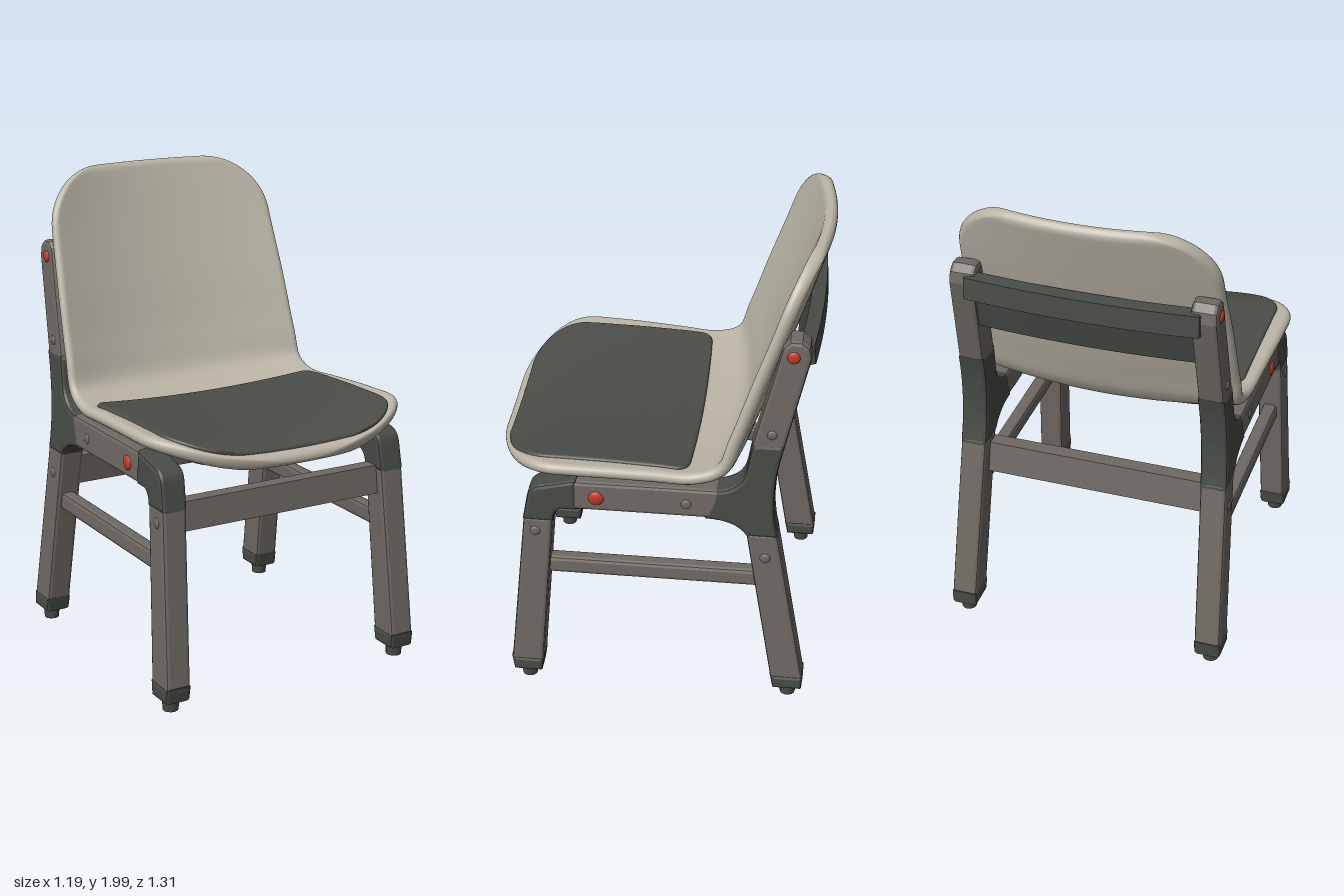
import * as THREE from 'three';

const mat = (name, color) => Object.assign(new THREE.MeshStandardMaterial({ color }), { name });

// Centre line of the seat shell, from front lip to top of the back: [z, y, halfWidth, cupY, cupZ]
const stations = [
  [0.655, 0.985, 0.59, 0.04, 0], [0.52, 1.03, 0.595, 0.045, 0], [0.25, 1.045, 0.59, 0.035, 0],
  [0, 1.04, 0.578, 0.03, 0], [-0.18, 1.035, 0.57, 0.03, 0.02], [-0.325, 1.09, 0.563, 0.02, 0.06],
  [-0.395, 1.24, 0.557, 0, 0.085], [-0.475, 1.48, 0.545, 0, 0.09], [-0.565, 1.75, 0.525, 0, 0.095],
  [-0.64, 1.985, 0.51, 0, 0.11],
];
const line = new THREE.CatmullRomCurve3(stations.map(([z, y]) => new THREE.Vector3(0, y, z)));
const shapeLine = new THREE.CatmullRomCurve3(stations.map(([, , w, cy, cz]) => new THREE.Vector3(w, cy, cz)));
const LENGTH = line.getLength();

// Rounded slab that follows the shell surface between two distances along its centre line
function slab({ from, to, width, front, back, offset, half, edge }) {
  const ds = [];
  for (let i = 0; i <= 14; i++) ds.push(from + front[1] * (1 - Math.cos(i / 14 * Math.PI / 2)));
  const a = from + front[1], b = to - back[1];
  for (let i = 1; i < 36; i++) ds.push(a + (b - a) * i / 36);
  for (let i = 14; i >= 0; i--) ds.push(to - back[1] * (1 - Math.cos(i / 14 * Math.PI / 2)));

  const corner = (d, [rx, rs]) => d >= rs ? 0 : rx * (1 - Math.sqrt(Math.max(0, 1 - (1 - d / rs) ** 2)));
  const round = d => Math.sqrt(Math.max(0, 1 - Math.max(0, 1 - d / edge) ** 2));
  const pos = [], index = [];
  let ring = 0;
  for (const d of ds) {
    const t = line.getUtoTmapping(Math.min(1, Math.max(0, d / LENGTH)));
    const p = line.getPoint(t), tan = line.getTangent(t), s = shapeLine.getPoint(t);
    const w = (width ?? s.x) - corner(d - from, front) - corner(to - d, back);
    const xs = [];
    for (let i = 0; i < 5; i++) xs.push(-w + edge * (1 - Math.cos(i / 5 * Math.PI / 2)));
    for (let i = 0; i <= 24; i++) xs.push((w - edge) * (i / 12 - 1));
    for (let i = 4; i >= 0; i--) xs.push(w - edge * (1 - Math.cos(i / 5 * Math.PI / 2)));
    const endRound = round(Math.min(d - from, to - d));
    const put = (x, side) => {
      const c = (x / 0.56) ** 2;
      const h = offset + side * half * endRound * round(w - Math.abs(x));
      pos.push(x, p.y + s.y * c - tan.z * h, p.z + s.z * c + tan.y * h);
    };
    xs.forEach(x => put(x, 1));
    xs.slice(1, -1).reverse().forEach(x => put(x, -1));
    ring = xs.length * 2 - 2;
  }
  for (let i = 0; i < ds.length - 1; i++) for (let j = 0; j < ring; j++) {
    const k = (j + 1) % ring, p = i * ring, q = p + ring;
    index.push(p + j, p + k, q + j, p + k, q + k, q + j);
  }
  const g = new THREE.BufferGeometry();
  g.setAttribute('position', new THREE.Float32BufferAttribute(pos, 3));
  g.setIndex(index);
  g.computeVertexNormals();
  return g;
}

// Side outline in (z, y) given depth along x, with bevelled edges
function prism(outline, width, bevel = 0.015, steps = 1) {
  const shape = outline instanceof THREE.Shape ? outline
    : new THREE.Shape(outline.map(([z, y]) => new THREE.Vector2(z, y)));
  const g = new THREE.ExtrudeGeometry(shape, {
    depth: width - 2 * bevel, steps, curveSegments: 8,
    bevelSize: bevel, bevelThickness: bevel, bevelOffset: -bevel, bevelSegments: 2,
  });
  g.translate(0, 0, bevel - width / 2);
  return g.rotateY(-Math.PI / 2);
}

// The side frames lean inwards as they rise
const frameX = y => 0.54 - 0.036 * y;
function lean(g, side) {
  const p = g.attributes.position;
  for (let i = 0; i < p.count; i++) p.setX(i, p.getX(i) + side * frameX(p.getY(i)));
  g.computeVertexNormals();
  return g;
}

export function createModel() {
  const model = new THREE.Group();
  model.name = 'chair';
  const shellMat = mat('warm grey shell', 0xbbb5a7);
  const frameMat = mat('brown grey frame', 0x6f6963);
  const darkMat = mat('dark grey joints', 0x484b46);
  const padMat = mat('dark grey pad', 0x4c4d48);
  const redMat = mat('red bolts', 0xc0392b);
  const add = (parent, name, geometry, material) => {
    const m = new THREE.Mesh(geometry, material);
    m.name = name;
    parent.add(m);
    return m;
  };

  // Shell, pad and the panel under the seat
  add(model, 'seatShell', slab({ from: 0, to: LENGTH, front: [0.5, 0.28], back: [0.26, 0.24],
    offset: 0, half: 0.027, edge: 0.03 }), shellMat);
  add(model, 'seatPad', slab({ from: 0.045, to: 0.815, width: 0.525, front: [0.3, 0.2], back: [0.06, 0.06],
    offset: 0.025, half: 0.013, edge: 0.015 }), padMat);
  add(model, 'underPanel', slab({ from: 0.14, to: 0.84, width: 0.42, front: [0.15, 0.12], back: [0.12, 0.1],
    offset: -0.05, half: 0.035, edge: 0.04 }), darkMat);

  // Curved joint outlines
  const frontJoint = new THREE.Shape();
  frontJoint.moveTo(0.53, 0.82);
  frontJoint.lineTo(0.51, 0.93);
  frontJoint.quadraticCurveTo(0.5, 0.985, 0.44, 0.99);
  frontJoint.lineTo(0.31, 1.02);
  frontJoint.lineTo(0.31, 0.88);
  frontJoint.lineTo(0.37, 0.88);
  frontJoint.quadraticCurveTo(0.405, 0.87, 0.405, 0.82);
  const backJoint = new THREE.Shape();
  backJoint.moveTo(-0.205, 0.88);
  backJoint.lineTo(-0.25, 1.015);
  backJoint.quadraticCurveTo(-0.35, 1.03, -0.365, 1.12);
  backJoint.lineTo(-0.385, 1.24);
  backJoint.lineTo(-0.512, 1.24);
  backJoint.quadraticCurveTo(-0.45, 1.0, -0.498, 0.81);
  backJoint.lineTo(-0.37, 0.81);
  backJoint.quadraticCurveTo(-0.33, 0.88, -0.205, 0.88);

  // Side frames: [name, outline, width, material]
  const parts = [
    ['frontLeg', [[0.6, 0.1], [0.467, 0.1], [0.407, 0.835], [0.526, 0.835]], 0.108, frameMat],
    ['backLeg', [[-0.49, 0.1], [-0.623, 0.1], [-0.495, 0.825], [-0.37, 0.825]], 0.108, frameMat],
    ['frontFootCap', [[0.602, 0.115], [0.464, 0.115], [0.474, 0.05], [0.592, 0.05]], 0.114, darkMat],
    ['backFootCap', [[-0.487, 0.115], [-0.625, 0.115], [-0.62, 0.05], [-0.5, 0.05]], 0.114, darkMat],
    ['frontJoint', frontJoint, 0.112, darkMat],
    ['backJoint', backJoint, 0.112, darkMat],
    ['seatRail', [[0.33, 0.885], [0.33, 1.015], [-0.27, 1.015], [-0.24, 0.885]], 0.108, frameMat],
    ['backPost', [[-0.38, 1.22], [-0.507, 1.22], [-0.598, 1.63], [-0.59, 1.675], [-0.56, 1.7],
      [-0.515, 1.7], [-0.488, 1.675], [-0.478, 1.63]], 0.105, frameMat],
    ['sideStretcher', [[0.46, 0.55], [0.46, 0.625], [-0.43, 0.625], [-0.43, 0.55]], 0.06, frameMat],
  ];
  // Bolt heads: [name, z, y, radius, material]
  const bolts = [
    ['seatBolt', 0.23, 0.945, 0.032, redMat], ['backBolt', -0.53, 1.635, 0.025, redMat],
    ['frontLegPlug', 0.48, 0.77, 0.022, frameMat], ['backLegPlug', -0.45, 0.71, 0.022, frameMat],
    ['railPlug', -0.13, 0.945, 0.022, frameMat], ['postPlug', -0.46, 1.29, 0.02, frameMat],
  ];
  for (const side of [1, -1]) {
    const frame = new THREE.Group();
    frame.name = side > 0 ? 'leftFrame' : 'rightFrame';
    model.add(frame);
    for (const [name, outline, width, material] of parts) {
      add(frame, name, lean(prism(outline, width), side), material);
    }
    for (const [name, z, y, r, material] of bolts) {
      const bolt = add(frame, name, new THREE.SphereGeometry(r, 14, 10), material);
      bolt.scale.x = 0.4;
      bolt.position.set(side * (frameX(y) + 0.052), y, z);
    }
    for (const z of [0.534, -0.562]) {
      const foot = add(frame, 'foot', new THREE.CylinderGeometry(0.036, 0.032, 0.06, 14), darkMat);
      foot.position.set(side * 0.54, 0.03, z);
    }
  }

  // Stretchers across the legs
  add(model, 'frontStretcher', prism([[0.5, 0.72], [0.49, 0.84], [0.43, 0.84], [0.44, 0.72]], 0.98), frameMat);
  add(model, 'backStretcher', prism([[-0.4, 0.66], [-0.46, 0.66], [-0.44, 0.79], [-0.38, 0.79]], 0.98), frameMat);

  // Gently bowed rail behind the backrest
  const rail = prism([[-0.637, 1.575], [-0.63, 1.665], [-0.575, 1.67], [-0.525, 1.43], [-0.56, 1.42],
    [-0.595, 1.56]], 0.94, 0.006, 16);
  const p = rail.attributes.position;
  for (let i = 0; i < p.count; i++) p.setZ(i, p.getZ(i) + 0.025 * (p.getX(i) / 0.47) ** 2);
  rail.computeVertexNormals();
  add(model, 'backRail', rail, darkMat);

  return model;
}
